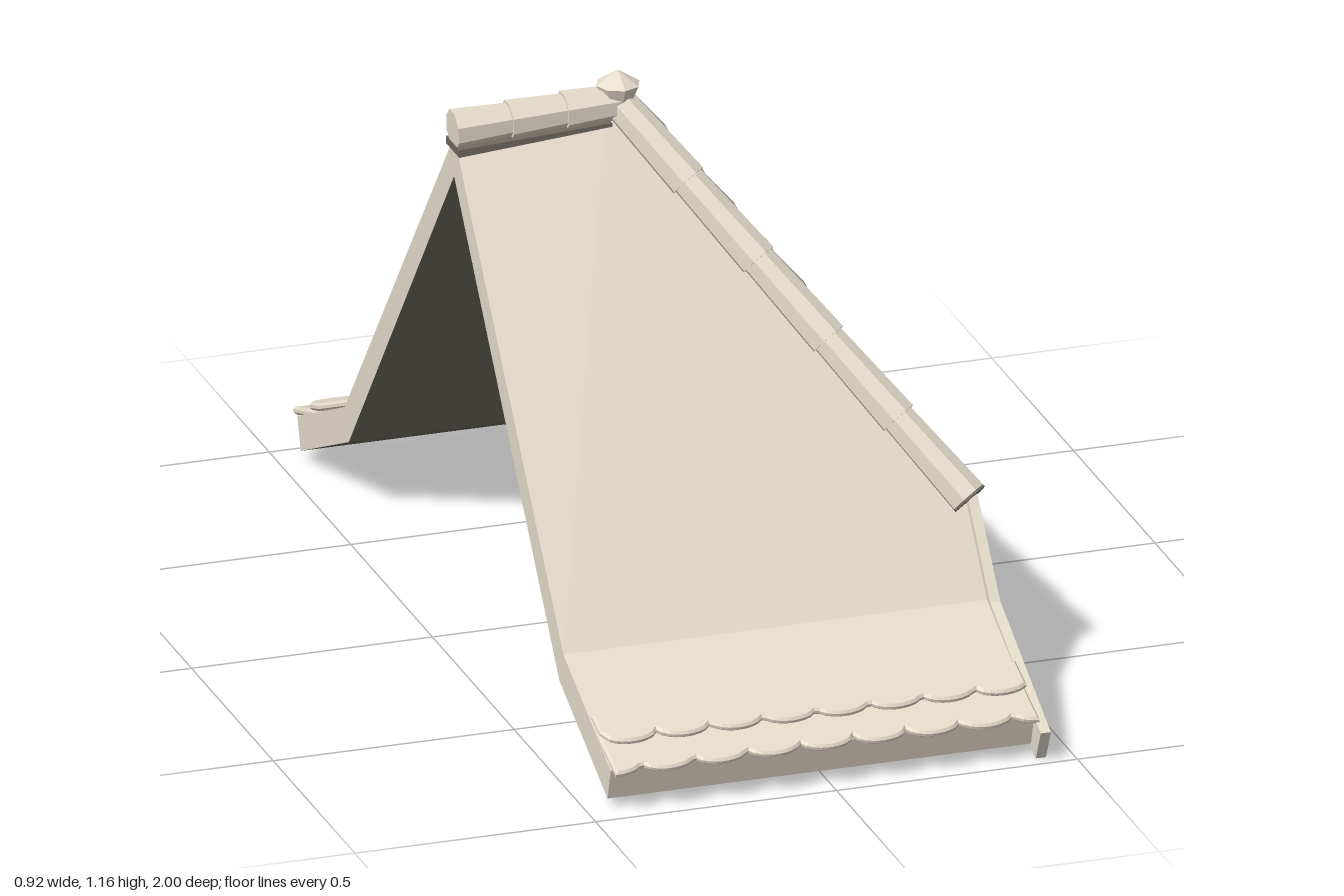
import * as THREE from 'three';

function flatColour(name, hex) {
  const m = new THREE.MeshStandardMaterial({ color: hex });
  m.name = name;
  return m;
}
const clay = flatColour('warm clay', 0xe6dccb);
const shade = flatColour('dark underside', 0x706b61);

// Faceted geometry with true flat normals
function facet(geo) {
  const g = geo.index ? geo.toNonIndexed() : geo;
  g.computeVertexNormals();
  return g;
}

// Copy of a geometry reflected across z = 0, with corner order corrected
function mirrorZ(geo) {
  const g = facet(geo.clone());
  g.scale(1, 1, -1);
  const p = g.attributes.position;
  const a = new THREE.Vector3(), b = new THREE.Vector3();
  for (let i = 0; i < p.count; i += 3) {
    a.fromBufferAttribute(p, i + 1);
    b.fromBufferAttribute(p, i + 2);
    p.setXYZ(i + 1, b.x, b.y, b.z);
    p.setXYZ(i + 2, a.x, a.y, a.z);
  }
  g.computeVertexNormals();
  return g;
}

// Solid plate between two outlines: group 0 is the top, 1 the rim, 2 the underside
function plate(outer, inner, tris) {
  const n = outer.length, index = [];
  for (const t of tris) index.push(...t);
  for (let i = 0; i < n; i++) {
    const j = (i + 1) % n;
    index.push(i, n + i, n + j, i, n + j, j);
  }
  for (const [a, b, c] of tris) index.push(n + a, n + c, n + b);
  const g = new THREE.BufferGeometry();
  g.setAttribute('position', new THREE.Float32BufferAttribute([...outer, ...inner].flat(), 3));
  g.setIndex(index);
  const capCount = tris.length * 3;
  g.addGroup(0, capCount, 0);
  g.addGroup(capCount, n * 6, 1);
  g.addGroup(capCount + n * 6, capCount, 2);
  return facet(g);
}

// Extrude an outline given in (z, y) between two x positions
function extrudeX(points, x0, x1) {
  const shape = new THREE.Shape(points.map(([z, y]) => new THREE.Vector2(z, y)));
  const g = new THREE.ExtrudeGeometry(shape, { depth: x1 - x0, bevelEnabled: false });
  g.rotateY(-Math.PI / 2);
  g.translate(x1, 0, 0);
  return facet(g);
}

function box(x0, x1, y0, y1, z0, z1) {
  const g = new THREE.BoxGeometry(x1 - x0, y1 - y0, z1 - z0);
  g.translate((x0 + x1) / 2, (y0 + y1) / 2, (z0 + z1) / 2);
  return g;
}

// Tapered eight-sided tile from point a (radius ra) to point b (radius rb)
function capTile(a, b, ra, rb) {
  const dir = b.clone().sub(a);
  const g = new THREE.CylinderGeometry(rb, ra, dir.length(), 8);
  g.rotateY(Math.PI / 8);
  g.applyQuaternion(new THREE.Quaternion().setFromUnitVectors(new THREE.Vector3(0, 1, 0), dir.clone().normalize()));
  g.translate((a.x + b.x) / 2, (a.y + b.y) / 2, (a.z + b.z) / 2);
  return facet(g);
}

// Row of eave tiles with a bevelled, scalloped lower edge
function tileRow(shift, zTop, yTop, length) {
  const x0 = -0.449, x1 = 0.421, pitch = 0.11, scallop = 0.032, steps = 72;
  const pts = [new THREE.Vector2(x1, 0), new THREE.Vector2(x0, 0)];
  for (let i = 0; i <= steps; i++) {
    const x = x0 + (x1 - x0) * i / steps;
    const t = ((x - x0 + shift) / pitch) % 1;
    const curve = Math.sqrt(Math.max(0, 1 - (2 * t - 1) ** 2));
    pts.push(new THREE.Vector2(x, -length + scallop * (1 - curve)));
  }
  const g = new THREE.ExtrudeGeometry(new THREE.Shape(pts),
    { depth: 0.006, bevelThickness: 0.005, bevelSize: 0.005, bevelSegments: 1 });
  g.translate(0, 0, 0.005);
  g.rotateX(Math.atan(0.33) - Math.PI / 2);
  g.translate(0, yTop, zTop);
  return facet(g);
}

export function createModel() {
  const model = new THREE.Group();
  model.name = 'hippedRoof';
  const add = (name, geo, material = clay) => {
    const m = new THREE.Mesh(geo, material);
    m.name = name;
    model.add(m);
  };
  const addPair = (name, geo, material) => {
    add(name + 'Front', geo, material);
    add(name + 'Back', mirrorZ(geo), material);
  };

  // Main slopes with flared eaves, cut diagonally along the hip
  addPair('roofSlope', plate(
    [[-0.455, 1.06, 0], [-0.455, 0.22, 0.67], [-0.455, 0.087, 0.96], [0.43, 0.087, 0.96],
      [0.43, 0.22, 0.67], [0.43, 0.37, 0.552], [-0.14, 1.075, 0]],
    [[-0.455, 0.975, 0], [-0.455, 0.155, 0.645], [-0.455, 0.02, 0.94], [0.43, 0.02, 0.94],
      [0.43, 0.155, 0.645], [0.41, 0.325, 0.512], [-0.18, 0.99, 0]],
    [[1, 4, 5], [1, 5, 6], [1, 6, 0], [1, 2, 3], [1, 3, 4]]
  ), [clay, clay, shade]);

  // Triangular hip slope with a dark undercut eave
  add('hipSlope', plate(
    [[0.432, 0.375, 0.55], [0.432, 0.375, -0.55], [-0.14, 1.075, 0]],
    [[0.392, 0.335, 0.51], [0.392, 0.335, -0.51], [-0.19, 1.03, 0]],
    [[0, 1, 2]]
  ), [clay, shade, shade]);

  // Cranked barge boards beside the hip
  addPair('bargeBoard', extrudeX(
    [[0.55, 0.395], [0.5, 0.335], [0.655, 0.148], [0.97, 0], [1, 0.065], [0.69, 0.222]], 0.424, 0.445));

  // Scalloped eave tiles
  addPair('lowerTileRow', tileRow(0.055, 0.87, 0.117, 0.117));
  addPair('upperTileRow', tileRow(0, 0.84, 0.143, 0.078));

  // Overlapping cap tiles on the ridge and hips
  const peak = new THREE.Vector3(-0.115, 1.088, 0);
  const hipEnd = new THREE.Vector3(0.427, 0.387, 0.545);
  const caps = (end, count, make) => {
    for (let i = 0; i < count; i++) {
      const a = peak.clone().lerp(end, i / count);
      const b = peak.clone().lerp(end, (i + 1) / count);
      make(capTile(a, b, 0.035, 0.041));
    }
  };
  caps(new THREE.Vector3(-0.458, 1.075, 0), 3, g => add('ridgeTile', g));
  caps(hipEnd, 5, g => addPair('hipTile', g));

  // Dark mouths of the lowest hip tiles
  addPair('hipTileMouth', capTile(hipEnd, hipEnd.clone().lerp(peak, -0.005), 0.041, 0.041), shade);

  // Dark bedding strip below the ridge tiles
  const bed = new THREE.Shape([[-0.458, 1.03], [-0.14, 1.054], [-0.14, 1.062], [-0.458, 1.046]]
    .map(([x, y]) => new THREE.Vector2(x, y)));
  const bedGeo = new THREE.ExtrudeGeometry(bed, { depth: 0.08, bevelEnabled: false });
  bedGeo.translate(0, 0, -0.04);
  add('ridgeBed', bedGeo, shade);

  // Faceted finial where ridge and hips meet
  const finial = new THREE.LatheGeometry(
    [[0, 1.085], [0.03, 1.092], [0.045, 1.128], [0, 1.157]].map(([r, y]) => new THREE.Vector2(r, y)), 8);
  finial.translate(-0.115, 0, 0);
  add('finial', facet(finial));

  // Recessed gable wall below the hip
  add('gableWall', extrudeX([[-0.62, 0.17], [0.62, 0.17], [0.4, 0.44], [-0.4, 0.44]], 0.28, 0.295));
  add('wallBeam', extrudeX([[-0.655, 0.15], [0.655, 0.15], [0.615, 0.2], [-0.615, 0.2]], 0.28, 0.345));
  addPair('slopingStrut', extrudeX([[0.57, 0.2], [0.61, 0.2], [0.47, 0.385], [0.43, 0.385]], 0.29, 0.32));
  for (const z of [0.358, 0.108])
    addPair('wallPost', box(0.29, 0.325, 0.195, 0.41, z - 0.017, z + 0.017));

  // Window between the middle posts
  add('windowMullion', box(0.29, 0.31, 0.2, 0.41, -0.005, 0.005));
  add('windowSill', box(0.29, 0.35, 0.197, 0.22, -0.092, 0.092));

  // Joist ends under the beam
  for (const z of [0.11, 0.335, 0.557])
    addPair('joistEnd', box(0.32, 0.375, 0.102, 0.14, z - 0.017, z + 0.017));

  return model;
}
